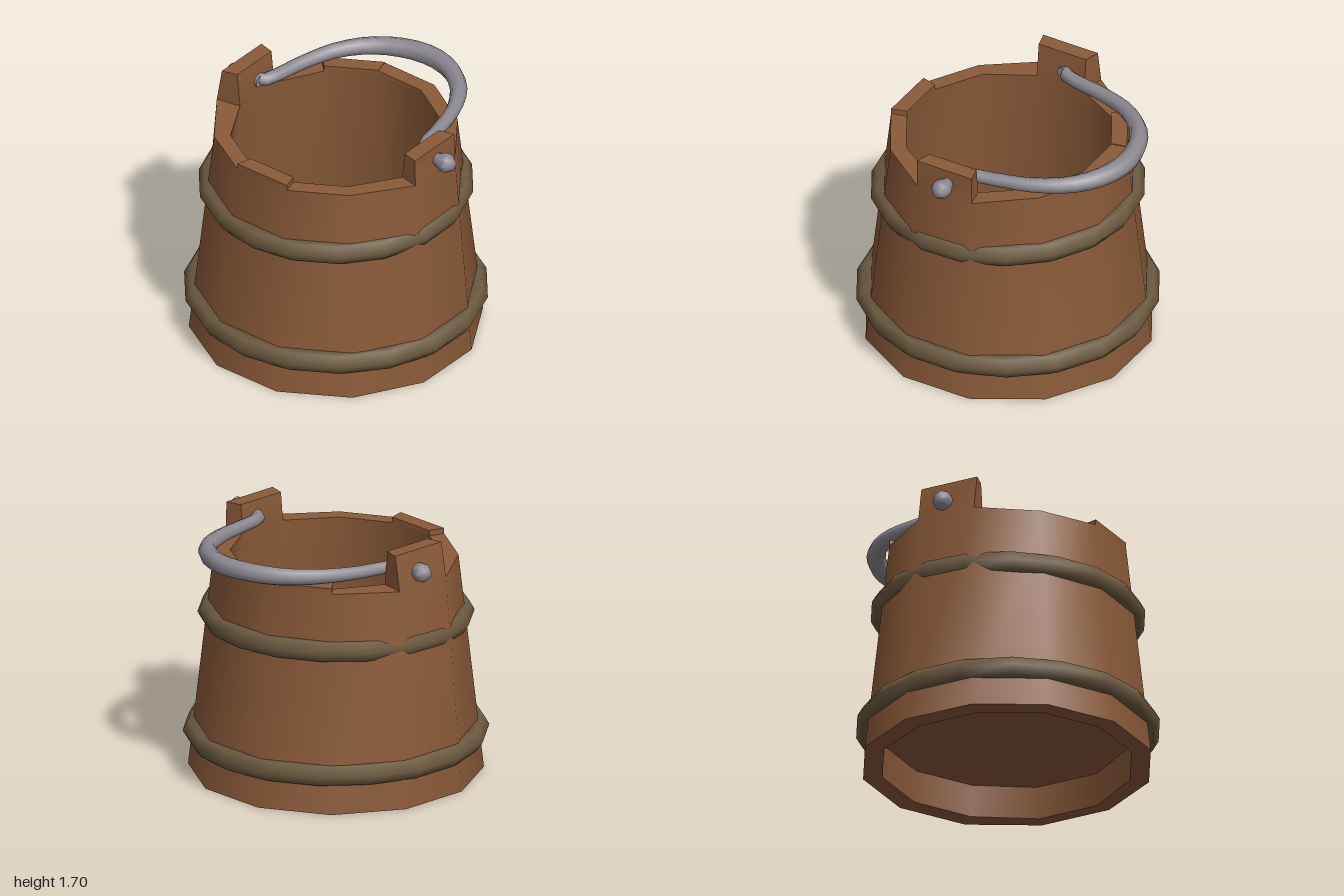
import * as THREE from 'three';
import { toCreasedNormals } from 'three/addons/utils/BufferGeometryUtils.js';

const SIDES = 12;
const STEP = (Math.PI * 2) / SIDES;
const FLAT = Math.cos(STEP / 2); // flat radius / corner radius
const RIM = 1.465;
const EAR_CORNERS = [2, 3, 8, 9]; // corners of the two tall staves

const wood = new THREE.MeshStandardMaterial({ color: 0x8a5a38 });
wood.name = 'brown wood';
const hoopMat = new THREE.MeshStandardMaterial({ color: 0x6c5a40 });
hoopMat.name = 'dull bronze hoop';
const metal = new THREE.MeshStandardMaterial({ color: 0x8e8a93 });
metal.name = 'grey metal';

function part(name, geometry, material, crease = 0.7) {
  const mesh = new THREE.Mesh(toCreasedNormals(geometry, crease), material);
  mesh.name = name;
  return mesh;
}

// Stave half-widths of the ring, measured to the flat of the stave
const outerR = (y) => 0.93 - 0.109 * y;
const innerR = (y) => 0.805 - 0.095 * y;

// Corner of the stave ring. The ring bulges sideways to the two ears, which
// keep their width and lean in a little above the rim.
function corner(k, y, outside) {
  const c = (k + SIDES) % SIDES;
  const a = (c + 0.5) * STEP;
  const low = Math.min(y, RIM);
  const over = y - low;
  const r = (outside ? outerR(low) : innerR(low)) / FLAT;
  const p = [Math.sin(a) * r, y, Math.cos(a) * r];
  if (EAR_CORNERS.includes(c)) {
    const side = Math.sign(p[0]);
    p[0] = outside
      ? side * (0.93 - 0.071 * low - 0.1 * over) + 0.08 * over
      : side * (innerR(low) + 0.009 + 0.1 * over) + 0.02;
  }
  return p;
}

function stavesGeometry() {
  // Top heights of each stave at its two corners, from the front towards +x
  const tops = [
    [1.503, 1.503], [RIM, RIM], [RIM, RIM], [1.655, 1.655],
    [RIM, 1.48], [1.48, 1.495], [1.495, 1.5], [1.505, 1.505],
    [RIM, RIM], [1.7, 1.7], [RIM, RIM], [RIM, RIM],
  ];
  const pos = [];
  const quad = (a, b, c, d) => pos.push(...a, ...b, ...c, ...a, ...c, ...d);
  const out = (c, y) => corner(c, y, true);
  const inn = (c, y) => corner(c, y, false);
  tops.forEach(([topL, topR], k) => {
    const l = k - 1;
    // outer and inner wall up to the rim, and the foot
    quad(out(l, 0), out(k, 0), out(k, RIM), out(l, RIM));
    quad(inn(k, 0), inn(l, 0), inn(l, RIM), inn(k, RIM));
    quad(inn(l, 0), inn(k, 0), out(k, 0), out(l, 0));
    // raised end of the stave
    if (topR > RIM) {
      quad(out(l, RIM), out(k, RIM), out(k, topR), out(l, topL));
      quad(inn(k, RIM), inn(l, RIM), inn(l, topL), inn(k, topR));
      quad(out(k, RIM), inn(k, RIM), inn(k, topR), out(k, topR));
    }
    if (topL > RIM) quad(inn(l, RIM), out(l, RIM), out(l, topL), inn(l, topL));
    quad(out(l, topL), out(k, topR), inn(k, topR), inn(l, topL));
  });
  const g = new THREE.BufferGeometry();
  g.setAttribute('position', new THREE.Float32BufferAttribute(pos, 3));
  return g;
}

// Six-sided band around the staves
function hoop(name, radius, y, tiltX, tiltZ) {
  const g = new THREE.TorusGeometry(radius, 0.075, 6, 18);
  g.rotateX(Math.PI / 2).rotateY(Math.PI / 2);
  const mesh = part(name, g, hoopMat, 1.1);
  mesh.position.set(-0.003, y, -0.003);
  mesh.rotation.set(tiltX, 0, tiltZ);
  return mesh;
}

// Bent bar, thicker in the middle than at the ends
function handleGeometry() {
  const path = new THREE.CatmullRomCurve3([
    [-0.72, 1.56, -0.03], [-0.645, 1.56, -0.06], [-0.615, 1.56, -0.16], [-0.57, 1.565, -0.38],
    [-0.475, 1.575, -0.62], [-0.32, 1.58, -0.8], [-0.12, 1.585, -0.9],
    [0.08, 1.585, -0.925], [0.27, 1.58, -0.87], [0.43, 1.57, -0.74],
    [0.55, 1.56, -0.52], [0.61, 1.552, -0.27], [0.655, 1.55, -0.08], [0.74, 1.55, -0.03],
  ].map((p) => new THREE.Vector3(...p)));
  const rings = 28, around = 8;
  const g = new THREE.TubeGeometry(path, rings, 0.065, around);
  const p = g.attributes.position;
  const v = new THREE.Vector3();
  for (let i = 0; i <= rings; i++) {
    const centre = path.getPointAt(i / rings);
    const scale = 0.67 + 0.35 * Math.sin((Math.PI * i) / rings) ** 3;
    for (let j = 0; j <= around; j++) {
      const n = i * (around + 1) + j;
      v.fromBufferAttribute(p, n).sub(centre).multiplyScalar(scale).add(centre);
      p.setXYZ(n, v.x, v.y, v.z);
    }
  }
  return g;
}

// Pin through an ear with a rounded knob outside; side is +1 or -1
function pivot(side) {
  const profile = [[0, -0.2], [0.042, -0.2], [0.046, -0.07], [0.064, -0.035],
    [0.064, 0.01], [0.035, 0.05], [0, 0.055]];
  const g = new THREE.LatheGeometry(profile.map((p) => new THREE.Vector2(...p)), 8);
  g.rotateZ(-side * Math.PI / 2);
  const mesh = part(side > 0 ? 'leftPivot' : 'rightPivot', g, metal, 0.9);
  mesh.position.set(side > 0 ? 0.9 : -0.855, 1.557, -0.03);
  return mesh;
}

export function createModel() {
  const bucket = new THREE.Group();
  bucket.name = 'bucket';

  const staves = part('staves', stavesGeometry(), wood);
  staves.position.set(-0.008, 0, -0.008);
  bucket.add(staves);

  // Floor slab, set up inside the staves
  const floorR = (innerR(0.24) + 0.02) / FLAT;
  const floor = new THREE.CylinderGeometry(floorR, floorR, 0.05, SIDES);
  floor.rotateY(STEP / 2).translate(-0.004, 0.24, -0.008);
  bucket.add(part('floor', floor, wood));

  bucket.add(hoop('lowerHoop', 0.924, 0.26, 0, -0.003));
  bucket.add(hoop('upperHoop', 0.828, 1.067, 0.022, -0.008));

  bucket.add(part('handle', handleGeometry(), metal, 1));
  bucket.add(pivot(1), pivot(-1));

  return bucket;
}
